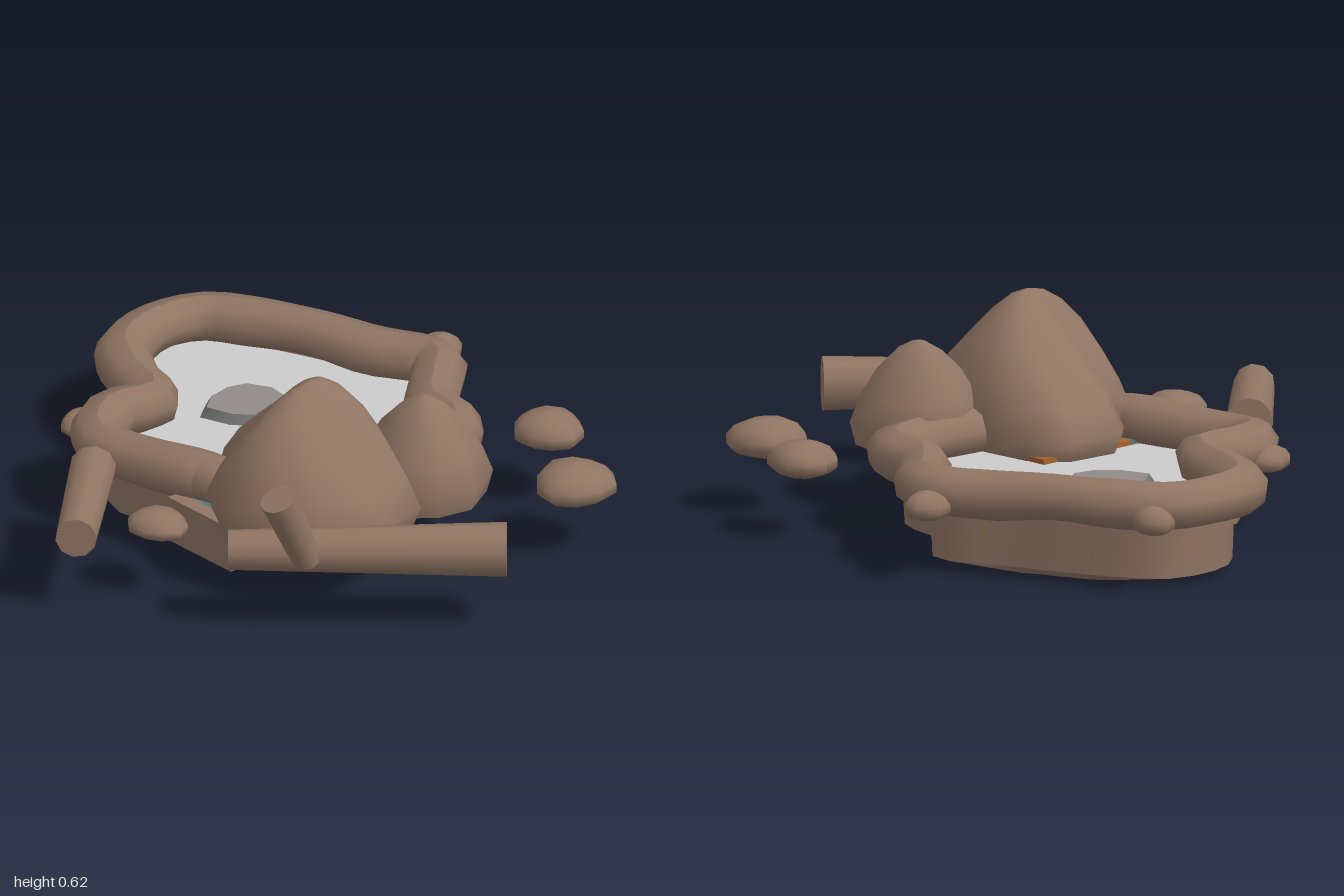
import * as THREE from 'three';

const mat = (name, color, side = THREE.FrontSide) => {
  const m = new THREE.MeshStandardMaterial({ color, side });
  m.name = name;
  return m;
};

// Joins rings of equal length (listed clockwise from above) from bottom to top
function loft(rings) {
  const n = rings[0].length, pos = [], idx = [];
  rings.forEach(r => r.forEach(p => pos.push(...p)));
  for (let j = 0; j < rings.length - 1; j++) {
    for (let i = 0; i < n; i++) {
      const a = j * n + i, b = j * n + (i + 1) % n;
      idx.push(a, a + n, b, b, a + n, b + n);
    }
  }
  const g = new THREE.BufferGeometry();
  g.setAttribute('position', new THREE.Float32BufferAttribute(pos, 3));
  g.setIndex(idx);
  g.computeVertexNormals();
  return g;
}

// Flat horizontal sheet from [x, z] outline points
function sheet(outline, y) {
  const g = new THREE.ShapeGeometry(new THREE.Shape(outline.map(([x, z]) => new THREE.Vector2(x, -z))));
  return g.rotateX(-Math.PI / 2).translate(0, y, 0);
}

export function createModel() {
  const group = new THREE.Group();
  const earth = mat('earthBrown', 0x907563);
  const earthThin = mat('earthBrownSheet', 0x907563, THREE.DoubleSide);
  const water = mat('waterGrey', 0xcccccc, THREE.DoubleSide);
  const stoneTop = mat('stoneGrey', 0x918a89);
  const stoneSide = mat('stoneDarkGrey', 0x757573);
  const rust = mat('rustOrange', 0xa5602f, THREE.DoubleSide);
  const teal = mat('dullTeal', 0x54777a);
  const add = (name, geo, m) => {
    const mesh = new THREE.Mesh(geo, m);
    mesh.name = name;
    group.add(mesh);
    return mesh;
  };

  // Lumpy rim around the pool: [x, z, y]
  const rim = [
    [-0.02, 0.3, 0.25], [-0.21, 0.35, 0.24], [-0.43, 0.375, 0.24], [-0.53, 0.25, 0.25], [-0.52, 0.09, 0.25],
    [-0.69, 0.02, 0.24], [-0.85, -0.07, 0.24], [-0.915, -0.22, 0.25], [-0.89, -0.4, 0.25], [-0.77, -0.49, 0.25],
    [-0.58, -0.58, 0.255], [-0.4, -0.65, 0.24], [-0.2, -0.735, 0.245], [-0.09, -0.64, 0.24], [0.03, -0.53, 0.235],
    [0.19, -0.49, 0.24], [0.24, -0.35, 0.24], [0.23, -0.16, 0.24], [0.21, 0.09, 0.24], [0.13, 0.25, 0.24]];
  const curve = new THREE.CatmullRomCurve3(rim.map(([x, z, y]) => new THREE.Vector3(x, y, z)), true, 'centripetal');
  const tube = new THREE.TubeGeometry(curve, 64, 0.085, 9, true);
  const tp = tube.attributes.position;
  for (let i = 0; i < tp.count; i++) {
    const c = curve.getPointAt(Math.floor(i / 10) / 64 % 1);
    const k = 1 + 0.06 * Math.sin(c.x * 13) * Math.cos(c.z * 11);
    tp.setXYZ(i, c.x + (tp.getX(i) - c.x) * k, c.y + (tp.getY(i) - c.y) * 0.86 * k, c.z + (tp.getZ(i) - c.z) * k);
  }
  tube.computeVertexNormals();
  add('poolRim', tube, earth);

  // Basin wall, floor and water inside the rim
  const basinRing = (s, y) => curve.getSpacedPoints(40).slice(0, 40)
    .map(p => [-0.34 + (p.x + 0.34) * 0.975 * s, y, -0.18 + (p.z + 0.18) * 0.95 * s]);
  add('basinWall', loft([basinRing(0.98, 0.02), basinRing(1, 0.24)]), earthThin);
  const dip = basinRing(0.4, 0.012).map(([x, y, z]) => [x - 0.15, y - 0.01, z - 0.2]);
  const floorEnd = dip.map(() => [-0.56, 0, -0.4]);
  add('basinFloor', loft([floorEnd, dip, basinRing(0.98, 0.02)]), earthThin);
  add('water', sheet(basinRing(0.99, 0).map(p => [p[0], p[2]]), 0.185), water);

  // Flat stone in the pool
  const slab = [[-0.54, -0.2], [-0.52, -0.27], [-0.44, -0.315], [-0.34, -0.305], [-0.275, -0.22],
    [-0.29, -0.14], [-0.36, -0.07], [-0.46, -0.035], [-0.52, -0.11]];
  const inner = slab.map(([x, z]) => [-0.4 + (x + 0.4) * 0.85, -0.18 + (z + 0.18) * 0.85]);
  add('poolStoneEdge', loft([slab.map(([x, z]) => [x, 0.18, z]), inner.map(([x, z]) => [x, 0.215, z])]), stoneSide);
  add('poolStoneTop', sheet(inner, 0.215), stoneTop);

  // Pointed boulders: footprint scaled by [y, sx, sz] levels
  const boulder = (name, foot, cx, cz, levels) => {
    const ring = ([y, sx, sz]) => foot.map(([x, z]) => [cx + (x - cx) * sx, y, cz + (z - cz) * sz]);
    add(name, loft(levels.map(ring)), earth);
    add(name + 'Underside', sheet(ring(levels[0]).map(p => [p[0], p[2]]), levels[0][0]), rust);
  };
  boulder('largeBoulder', [[-0.145, 0.13], [-0.13, -0.05], [-0.02, -0.14], [0.16, -0.15], [0.35, -0.13],
    [0.55, -0.05], [0.6, 0.14], [0.54, 0.3], [0.4, 0.41], [0.22, 0.455], [0.06, 0.37], [0, 0.25], [-0.08, 0.2]],
  0.27, 0.14, [[0.185, 0.92, 0.94], [0.25, 1, 1], [0.34, 0.83, 0.92], [0.42, 0.62, 0.82], [0.5, 0.39, 0.65],
    [0.57, 0.21, 0.42], [0.61, 0.09, 0.2], [0.622, 0, 0]]);
  boulder('smallBoulder', [[0.18, -0.2], [0.2, -0.34], [0.36, -0.4], [0.5, -0.37], [0.58, -0.24],
    [0.56, -0.12], [0.49, -0.03], [0.35, -0.02], [0.22, -0.07]],
  0.37, -0.21, [[0.19, 0.9, 0.92], [0.26, 1, 1], [0.34, 0.86, 0.84], [0.42, 0.63, 0.6], [0.475, 0.35, 0.33],
    [0.5, 0.12, 0.12], [0.505, 0, 0]]);

  // Footing below the large boulder: [name, material, x0, x1, z0, z1]
  for (const [name, m, x0, x1, z0, z1] of [['footingRust', rust, -0.07, 0.235, -0.12, 0.24],
    ['footingTeal', teal, -0.07, 0.235, 0.24, 0.36], ['footingFront', earth, -0.07, 0.22, 0.36, 0.41]]) {
    add(name, new THREE.BoxGeometry(x1 - x0, 0.14, z1 - z0), m).position.set((x0 + x1) / 2, 0.13, (z0 + z1) / 2);
  }

  // Loose stones: [x, z, radius x, radius z, bottom, top]
  const stones = [[-0.31, -0.84, 0.07, 0.07, 0.18, 0.27], [0.34, -0.72, 0.112, 0.105, 0.18, 0.29],
    [0.65, -0.56, 0.125, 0.125, 0.16, 0.28], [-0.91, -0.49, 0.075, 0.055, 0.18, 0.27],
    [0.09, 0.58, 0.1, 0.088, 0.185, 0.265], [-0.59, 0.3, 0.065, 0.078, 0.185, 0.265]];
  stones.forEach(([x, z, rx, rz, lo, hi], k) => {
    const g = new THREE.SphereGeometry(1, 10, 7);
    const p = g.attributes.position, mid = lo + (hi - lo) * 0.4;
    for (let i = 0; i < p.count; i++) {
      const y = p.getY(i), w = 1 + 0.06 * Math.sin(3 * Math.atan2(p.getZ(i), p.getX(i)) + k * 2);
      p.setXYZ(i, p.getX(i) * rx * w, y * (y > 0 ? hi - mid : mid - lo), p.getZ(i) * rz * w);
    }
    g.computeVertexNormals();
    add('looseStone', g, earth).position.set(x, mid, z);
  });

  // Logs between two points
  const log = (name, a, b, ra, rb) => {
    const A = new THREE.Vector3(...a), B = new THREE.Vector3(...b), d = B.clone().sub(A);
    const mesh = add(name, new THREE.CylinderGeometry(rb, ra, d.length(), 10), earth);
    mesh.position.copy(A).lerp(B, 0.5);
    mesh.quaternion.setFromUnitVectors(new THREE.Vector3(0, 1, 0), d.normalize());
  };
  log('shortLog', [-0.29, 0.25, 0.515], [0.05, 0.245, 0.865], 0.07, 0.062);
  log('longLog', [0.4, 0.245, 0.57], [0.935, 0.25, -0.06], 0.06, 0.082);
  log('branchStub', [0.58, 0.23, 0.415], [0.585, 0.465, 0.53], 0.045, 0.057);

  return group;
}
